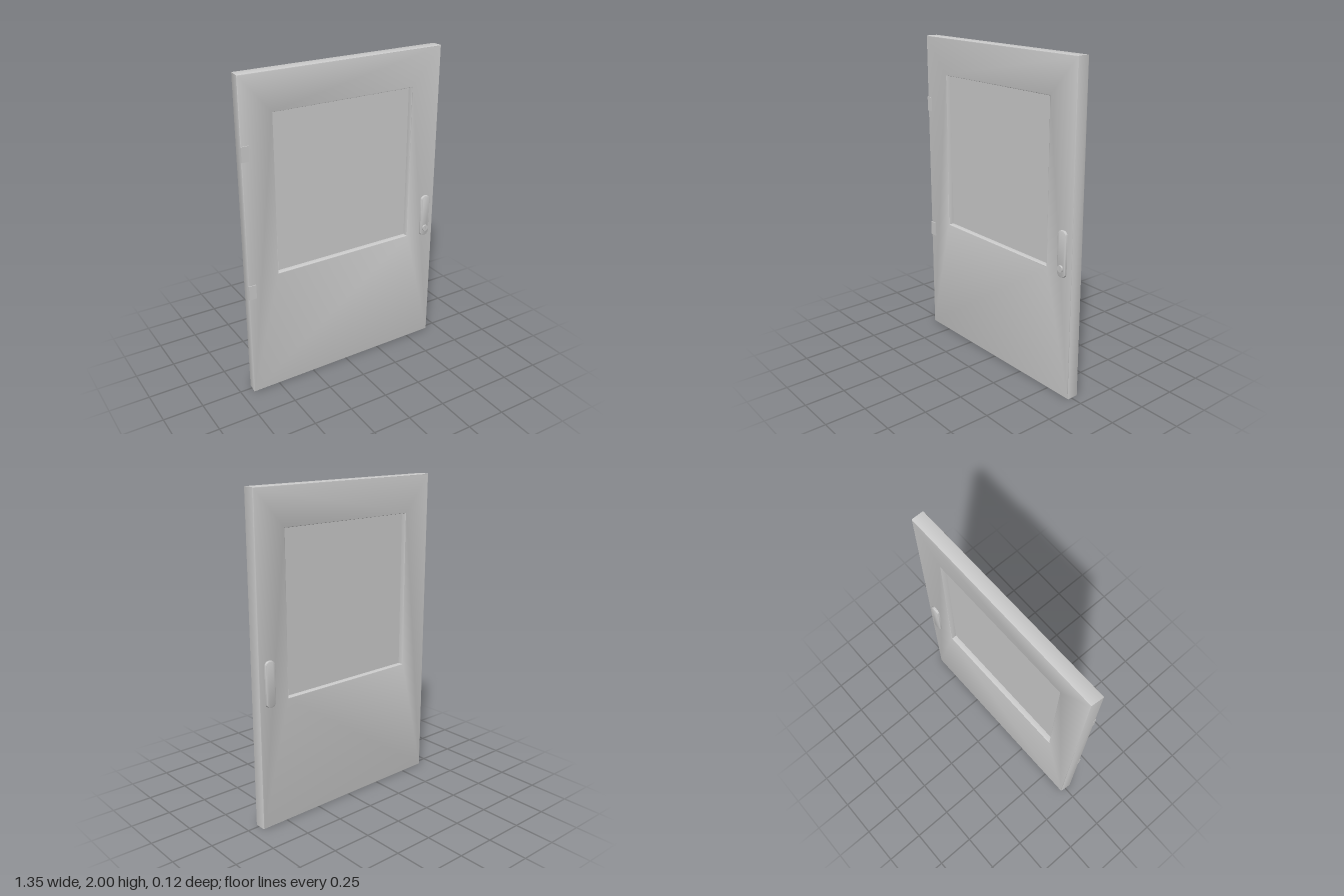
import * as THREE from 'three';
import { toCreasedNormals } from 'three/addons/utils/BufferGeometryUtils.js';

const T = 0.04; // half thickness of the door
const material = new THREE.MeshStandardMaterial({ color: 0xcccccc });

function add(parent, name, geometry, x = 0, y = 0, z = 0) {
  const mesh = new THREE.Mesh(geometry, material);
  mesh.name = name;
  mesh.position.set(x, y, z);
  parent.add(mesh);
  return mesh;
}

function rectPath(Type, x0, y0, x1, y1) {
  return new Type([[x0, y0], [x1, y0], [x1, y1], [x0, y1]].map(([x, y]) => new THREE.Vector2(x, y)));
}

function roundedRect(w, h, r) {
  const s = new THREE.Shape();
  s.absarc(w / 2 - r, h / 2 - r, r, 0, Math.PI / 2);
  s.absarc(-w / 2 + r, h / 2 - r, r, Math.PI / 2, Math.PI);
  s.absarc(-w / 2 + r, -h / 2 + r, r, Math.PI, Math.PI * 1.5);
  s.absarc(w / 2 - r, -h / 2 + r, r, Math.PI * 1.5, Math.PI * 2);
  s.closePath();
  return s;
}

// Extrusion centred on z = 0 with softened edges
function slab(shape, depth, bevel, segments = 2) {
  const g = new THREE.ExtrudeGeometry(shape, {
    depth: depth - 2 * bevel, bevelEnabled: true, bevelSize: bevel,
    bevelThickness: bevel, bevelSegments: segments, curveSegments: 8,
  });
  g.translate(0, 0, -depth / 2 + bevel);
  return g;
}

export function createModel() {
  const door = new THREE.Group();
  door.name = 'door';

  // Door leaf with window opening; the hinge edge slopes back
  const b = 0.006;
  const outline = rectPath(THREE.Shape, -0.674 + b, b, 0.672 - b, 2 - b);
  outline.holes.push(rectPath(THREE.Path, -0.475 - b / 2, 0.78 - b / 2, 0.47 + b / 2, 1.772 + b / 2));
  const leaf = slab(outline, 2 * T, b);
  const p = leaf.attributes.position;
  for (let i = 0; i < p.count; i++) {
    if (p.getX(i) < -0.6) p.setX(i, p.getX(i) + 0.008 * (T - p.getZ(i)) / (2 * T));
  }
  add(door, 'doorLeaf', toCreasedNormals(leaf, 0.6));

  // Window pane set midway in the opening
  add(door, 'windowPane', new THREE.BoxGeometry(0.955, 1.0, 0.01), -0.0025, 1.276, 0);

  // Hinge plates on the front
  [['upperHinge', 1.565], ['lowerHinge', 0.707]].forEach(([name, y]) =>
    add(door, name, new THREE.BoxGeometry(0.047, 0.09, 0.02), -0.65, y, T - 0.005));

  // Handle plates on both faces
  const plate = toCreasedNormals(slab(roundedRect(0.056, 0.27, 0.024), 0.03, 0.005), 0.5);
  add(door, 'frontHandlePlate', plate, 0.6, 0.9, T);
  add(door, 'backHandlePlate', plate, 0.6, 0.9, -T);

  // Lock cylinder with a keyway
  const ring = new THREE.Shape();
  ring.absarc(0, 0, 0.02, 0, Math.PI * 2);
  ring.holes.push(rectPath(THREE.Path, -0.003, -0.012, 0.003, 0.012));
  const lock = new THREE.ExtrudeGeometry(ring, { depth: 0.012, bevelEnabled: false, curveSegments: 12 });
  add(door, 'lockCylinder', toCreasedNormals(lock, 0.6), 0.6, 0.815, T + 0.014);

  // The door stands slightly ajar
  door.rotation.y = 0.0105;
  door.position.z = -0.003;
  const model = new THREE.Group();
  model.name = 'doorModel';
  model.add(door);
  return model;
}
